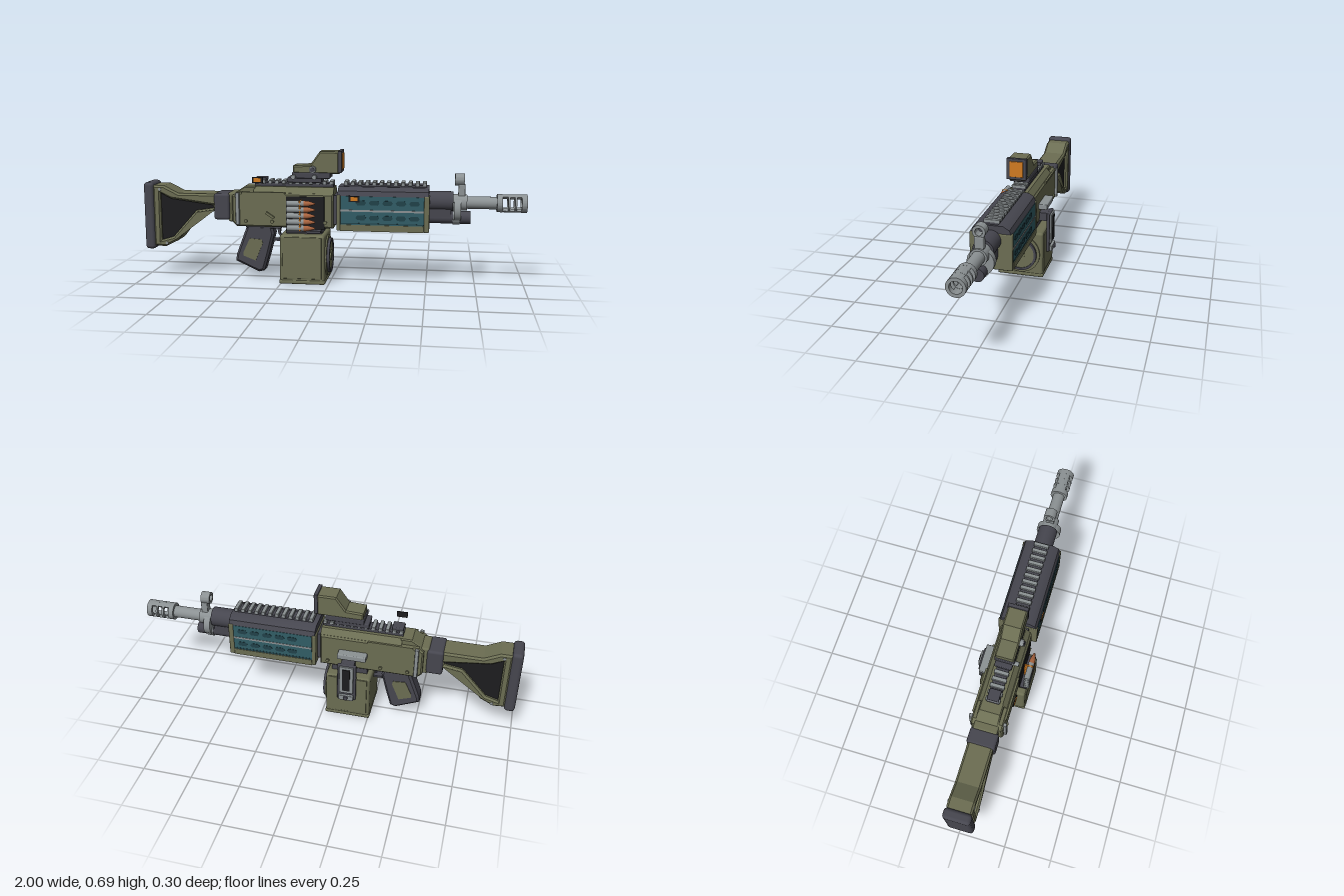
import * as THREE from 'three';
import { toCreasedNormals } from 'three/addons/utils/BufferGeometryUtils.js';
import { RoundedBoxGeometry } from 'three/addons/geometries/RoundedBoxGeometry.js';

const C = 0.015; // z of the long axis

export function createModel() {
  const root = new THREE.Group();
  root.name = 'propLauncher';
  const colour = (name, color) => {
    const m = new THREE.MeshStandardMaterial({ color });
    m.name = name;
    return m;
  };
  const olive = colour('olive', 0x6c6e53), dark = colour('charcoal', 0x46464f);
  const steel = colour('steel', 0x8c9294), teal = colour('teal', 0x315d66);
  const slotTeal = colour('deepTeal', 0x21424a), black = colour('black', 0x1d1d1f);
  const orange = colour('orange', 0xd07b22), copper = colour('copper', 0xa9643f);

  const add = (name, geo, mat) => {
    const m = new THREE.Mesh(geo, mat);
    m.name = name;
    root.add(m);
    return m;
  };
  // Box given by its limits, with an optional rounded edge
  const box = (name, mat, x0, x1, y0, y1, z0, z1, r = 0) => {
    const s = [x1 - x0, y1 - y0, z1 - z0];
    const g = r ? new RoundedBoxGeometry(...s, 2, r) : new THREE.BoxGeometry(...s);
    g.translate((x0 + x1) / 2, (y0 + y1) / 2, (z0 + z1) / 2);
    return add(name, g, mat);
  };
  const outline = (pts) => new THREE.Shape(pts.map((p) => new THREE.Vector2(...p)));
  // Side outline (x, y) extruded across z
  const plate = (name, mat, pts, z0, z1, bevel = 0, hole = null) => {
    const s = outline(pts);
    if (hole) s.holes.push(outline(hole));
    const g = new THREE.ExtrudeGeometry(s, {
      depth: z1 - z0 - 2 * bevel, bevelEnabled: bevel > 0, bevelSize: bevel,
      bevelThickness: bevel, bevelOffset: -bevel, bevelSegments: 1,
    });
    g.translate(0, 0, z0 + bevel);
    return add(name, g, mat);
  };
  // Cross-section (z offset, y) extruded along x
  const section = (name, mat, shape, x0, x1, z = C) => {
    const g = new THREE.ExtrudeGeometry(shape, { depth: x1 - x0, bevelEnabled: false, curveSegments: 24 });
    g.rotateY(Math.PI / 2).translate(x0, 0, z);
    return add(name, toCreasedNormals(g, 0.6), mat);
  };
  // Cylinder along x, and along z
  const rodX = (name, mat, x0, x1, y, r, r1 = r, z = C) =>
    add(name, new THREE.CylinderGeometry(r1, r, x1 - x0, 28).rotateZ(-Math.PI / 2).translate((x0 + x1) / 2, y, z), mat);
  const rodZ = (name, mat, x, y, z0, z1, r) =>
    add(name, new THREE.CylinderGeometry(r, r, z1 - z0, 18).rotateX(Math.PI / 2).translate(x, y, (z0 + z1) / 2), mat);
  // Hollow ring, or a sector of one, along x
  const ring = (name, mat, x0, x1, y, ro, ri, a0 = 0, a1 = Math.PI * 2) => {
    const s = new THREE.Shape();
    s.absarc(0, y, ro, a0, a1, false);
    if (a1 - a0 > 6.28) s.holes.push(new THREE.Path().absarc(0, y, ri, 0, Math.PI * 2, true));
    else { s.absarc(0, y, ri, a1, a0, true); s.closePath(); }
    return section(name, mat, s, x0, x1);
  };

  // Stock with a dark infill, pad and hinge
  box('buttPad', dark, -1, -0.945, 0.15, 0.51, C - 0.07, C + 0.07, 0.018);
  plate('stockFrame', olive, [[-0.95, 0.17], [-0.89, 0.165], [-0.82, 0.2], [-0.7, 0.35], [-0.6, 0.365], [-0.6, 0.455],
    [-0.81, 0.455], [-0.89, 0.495], [-0.95, 0.495]], C - 0.065, C + 0.065, 0.01,
    [[-0.91, 0.2], [-0.845, 0.22], [-0.715, 0.365], [-0.62, 0.38], [-0.62, 0.395], [-0.85, 0.425], [-0.91, 0.455]]);
  plate('stockInfill', black, [[-0.92, 0.19], [-0.84, 0.21], [-0.71, 0.355], [-0.61, 0.37], [-0.61, 0.4],
    [-0.85, 0.43], [-0.92, 0.46]], C - 0.045, C + 0.045);
  for (const z of [C - 0.068, C + 0.062]) for (const [x, y] of [[-0.91, 0.475], [-0.88, 0.185]])
    rodZ('stockPin', steel, x, y, z, z + 0.006, 0.008);
  box('stockHinge', dark, -0.615, -0.53, 0.32, 0.46, C - 0.073, C + 0.073, 0.014);
  box('rearCollar', olive, -0.54, -0.49, 0.31, 0.465, C - 0.062, C + 0.062, 0.01);

  // Receiver: straight sides with a sloped top, wedge at the rear
  plate('receiverBody', olive, [[-0.515, 0.315], [-0.49, 0.29], [0.02, 0.29], [0.02, 0.47], [-0.49, 0.47], [-0.515, 0.45]],
    C - 0.083, C + 0.083, 0.008);
  section('receiverCover', olive, outline([[-0.077, 0.465], [0.077, 0.465], [0.05, 0.5], [-0.05, 0.5]]), -0.4, 0.02);
  plate('receiverRearSlope', olive, [[-0.5, 0.465], [-0.39, 0.465], [-0.39, 0.5], [-0.45, 0.5]], C - 0.058, C + 0.058, 0.006);
  box('receiverJoint', dark, 0.015, 0.045, 0.31, 0.46, C - 0.06, C + 0.06);
  box('bottomPlate', dark, -0.45, -0.26, 0.275, 0.295, C - 0.045, C + 0.045, 0.005);
  for (const s of [-1, 1]) {
    box('receiverBar', steel, -0.492, -0.472, 0.3, 0.47, C + s * 0.088 - 0.009, C + s * 0.088 + 0.009, 0.004);
    box('receiverLip', olive, -0.46, -0.23, 0.462, 0.474, C + s * 0.083 - 0.005, C + s * 0.083 + 0.005);
    for (const [x, y] of [[-0.44, 0.32], [-0.3, 0.32], [-0.02, 0.32]])
      rodZ('receiverPin', olive, x, y, C + s * 0.085 - 0.006, C + s * 0.085 + 0.006, 0.009);
  }
  const lever = box('selector', olive, -0.335, -0.285, 0.347, 0.36, C + 0.08, C + 0.095);
  lever.geometry.translate(0.31, -0.353, 0);
  lever.position.set(-0.31, 0.353, 0);
  lever.rotation.z = -0.6;

  // Feed window with belt of rounds
  box('feedWindow', black, -0.225, -0.025, 0.285, 0.455, C + 0.08, C + 0.088);
  box('feedTray', dark, -0.22, -0.04, 0.272, 0.284, C + 0.06, 0.14);
  for (let i = 0; i < 5; i++) {
    const y = 0.297 + i * 0.032;
    rodX('roundCase', steel, -0.215, -0.125, y, 0.0155, 0.0155, 0.137);
    rodX('roundNeck', copper, -0.125, -0.105, y, 0.0155, 0.0145, 0.137);
    rodX('roundTip', copper, -0.105, -0.068, y, 0.0145, 0.004, 0.137);
    box('beltLink', orange, -0.15, -0.14, y - 0.016, y + 0.016, 0.105, 0.152, 0.004);
  }

  // Box magazine with a round dial on its front end
  box('magazineNeck', dark, -0.23, -0.04, 0.25, 0.295, C - 0.072, C + 0.072);
  box('magazine', olive, -0.255, -0.02, 0.003, 0.258, -0.108, 0.14, 0.014);
  box('magazineBase', olive, -0.258, -0.017, 0, 0.022, -0.111, 0.143, 0.008);
  for (const z of [0.138, -0.112]) box('magazinePanel', olive, -0.24, -0.035, 0.03, 0.25, z, z + 0.008, 0.003);
  rodX('dialPlate', olive, -0.022, -0.012, 0.133, 0.108);
  ring('dialRing', dark, -0.015, 0.002, 0.133, 0.092, 0.079);
  rodX('dialFace', olive, -0.015, -0.003, 0.133, 0.079);
  rodX('dialHub', olive, -0.005, 0.004, 0.133, 0.028);

  // Far side latch plate and cocking handle
  box('latchPlate', dark, -0.185, -0.085, 0.125, 0.347, -0.128, -0.111, 0.006);
  box('latchFrame', steel, -0.172, -0.098, 0.172, 0.34, -0.137, -0.126, 0.003);
  box('latchWindow', black, -0.155, -0.115, 0.19, 0.325, -0.141, -0.135);
  box('latchFoot', steel, -0.175, -0.095, 0.127, 0.158, -0.142, -0.125, 0.004);
  rodZ('latchButton', dark, -0.135, 0.147, -0.151, -0.14, 0.012);
  box('latchBracket', dark, -0.17, -0.1, 0.3, 0.345, -0.113, -0.06);
  box('cockingHandle', steel, -0.23, -0.08, 0.37, 0.4, -0.115, -0.066, 0.005);

  // Pistol grip and trigger
  plate('pistolGrip', dark, [[-0.445, 0.29], [-0.31, 0.29], [-0.3, 0.245], [-0.33, 0.13], [-0.355, 0.045], [-0.385, 0.038],
    [-0.51, 0.095], [-0.505, 0.13]], C - 0.045, C + 0.045, 0.012);
  for (const z of [C + 0.043, C - 0.048]) plate('gripPanel', olive, [[-0.43, 0.22], [-0.365, 0.215], [-0.36, 0.195],
    [-0.4, 0.1], [-0.465, 0.125], [-0.465, 0.145]], z, z + 0.005);
  box('triggerGuard', dark, -0.335, -0.245, 0.205, 0.215, C - 0.02, C + 0.02);
  plate('trigger', dark, [[-0.29, 0.28], [-0.27, 0.28], [-0.272, 0.245], [-0.262, 0.222], [-0.282, 0.24]], C - 0.01, C + 0.01);

  // Handguard: olive frame, teal side panels with rows of slots
  box('handguardCore', olive, 0.045, 0.5, 0.29, 0.465, C - 0.098, C + 0.098);
  for (const [x0, x1] of [[0.04, 0.06], [0.485, 0.512]])
    box('handguardFrame', olive, x0, x1, 0.285, 0.47, C - 0.105, C + 0.105, 0.006);
  box('handguardUnderside', black, 0.06, 0.485, 0.283, 0.29, C - 0.085, C + 0.085);
  for (const s of [-1, 1]) {
    const side = (name, mat, x0, x1, y0, y1, d, t) => box(name, mat, x0, x1, y0, y1, C + s * d - t / 2, C + s * d + t / 2);
    side('lowerRail', olive, 0.06, 0.485, 0.285, 0.318, 0.1, 0.01);
    side('sidePanel', teal, 0.06, 0.485, 0.318, 0.465, 0.099, 0.006);
    side('panelStrip', steel, 0.06, 0.485, 0.386, 0.396, 0.101, 0.006);
    side('panelSeam', slotTeal, 0.06, 0.485, 0.322, 0.327, 0.1, 0.006);
    for (const y of [0.355, 0.432]) for (let i = 0; i < 5; i++) {
      const x = 0.165 + i * 0.068, z = C + s * 0.101;
      plate('panelSlot', slotTeal, [[x - 0.027, y], [x - 0.018, y - 0.012], [x + 0.018, y - 0.012], [x + 0.027, y],
        [x + 0.018, y + 0.012], [x - 0.018, y + 0.012]], z - 0.003, z + 0.003);
    }
  }
  section('handguardTop', dark, outline([[-0.1, 0.465], [0.1, 0.465], [0.09, 0.49], [0.06, 0.508], [-0.06, 0.508], [-0.09, 0.49]]), 0.045, 0.508);

  // Toothed top rails
  for (const [x0, x1, n, half] of [[0.07, 0.495, 12, 0.04], [-0.4, 0.015, 12, 0.038]]) {
    box('railBase', dark, x0, x1, 0.495, 0.518, C - half + 0.006, C + half - 0.006);
    for (let i = 0; i < n; i++) {
      const x = x0 + (i * (x1 - x0 - 0.02)) / (n - 1);
      box('railTooth', steel, x, x + 0.02, 0.513, 0.532, C - half, C + half, 0.003);
    }
  }
  // Small indicator plates
  for (const [x, y] of [[-0.37, 0.54], [0.13, 0.452]]) {
    box('indicatorFrame', black, x - 0.028, x + 0.028, y - 0.016, y + 0.016, 0.117, 0.122);
    box('indicatorLight', orange, x - 0.018, x + 0.018, y - 0.01, y + 0.01, 0.121, 0.125);
  }
  box('rearSightBase', dark, -0.4, -0.34, 0.525, 0.545, C - 0.03, C + 0.03, 0.005);

  // Optic: clamp, hood, lens and adjusters
  box('opticClamp', dark, -0.225, -0.045, 0.522, 0.55, C - 0.045, C + 0.045, 0.006);
  box('opticBase', dark, -0.2, 0.0, 0.545, 0.577, C - 0.052, C + 0.052, 0.006);
  plate('opticBody', olive, [[-0.195, 0.57], [0.045, 0.57], [0.045, 0.685], [-0.055, 0.685], [-0.105, 0.615], [-0.195, 0.61]],
    C - 0.05, C + 0.05, 0.007);
  box('opticFrame', dark, 0.04, 0.06, 0.577, 0.69, C - 0.053, C + 0.053, 0.003);
  box('opticLens', orange, 0.056, 0.064, 0.592, 0.675, C - 0.036, C + 0.036, 0.003);
  rodZ('opticDial', steel, -0.09, 0.593, C + 0.045, C + 0.068, 0.018);
  rodZ('opticDialCap', dark, -0.09, 0.593, C + 0.068, C + 0.073, 0.012);
  for (const x of [-0.19, -0.08]) rodZ('clampScrew', steel, x, 0.554, C + 0.04, C + 0.074, 0.012);

  // Barrel group
  rodX('barrelSleeve', dark, 0.505, 0.63, 0.435, 0.051);
  rodX('gasTube', dark, 0.505, 0.72, 0.352, 0.033);
  box('sleeveBridge', dark, 0.505, 0.62, 0.355, 0.43, C - 0.035, C + 0.035);
  rodX('barrel', steel, 0.6, 0.87, 0.43, 0.032);
  rodX('sightBlock', steel, 0.635, 0.67, 0.395, 0.065);
  rodX('barrelBand', steel, 0.625, 0.7, 0.43, 0.042);
  rodX('gasBand', steel, 0.63, 0.665, 0.352, 0.038);
  box('sightPost', steel, 0.655, 0.69, 0.45, 0.525, C - 0.022, C + 0.022, 0.005);
  ring('sightRing', steel, 0.637, 0.685, 0.548, 0.031, 0.018);

  // Slotted muzzle: full rings joined by arcs above and below
  for (const [x0, x1] of [[0.85, 0.878], [0.904, 0.914], [0.938, 0.948], [0.972, 1]])
    ring('muzzleRing', steel, x0, x1, 0.43, 0.046, 0.03);
  for (const a of [0.5, 1.5])
    ring('muzzleBridge', steel, 0.86, 0.99, 0.43, 0.0455, 0.0305, a * Math.PI - 0.66, a * Math.PI + 0.66);
  return root;
}
